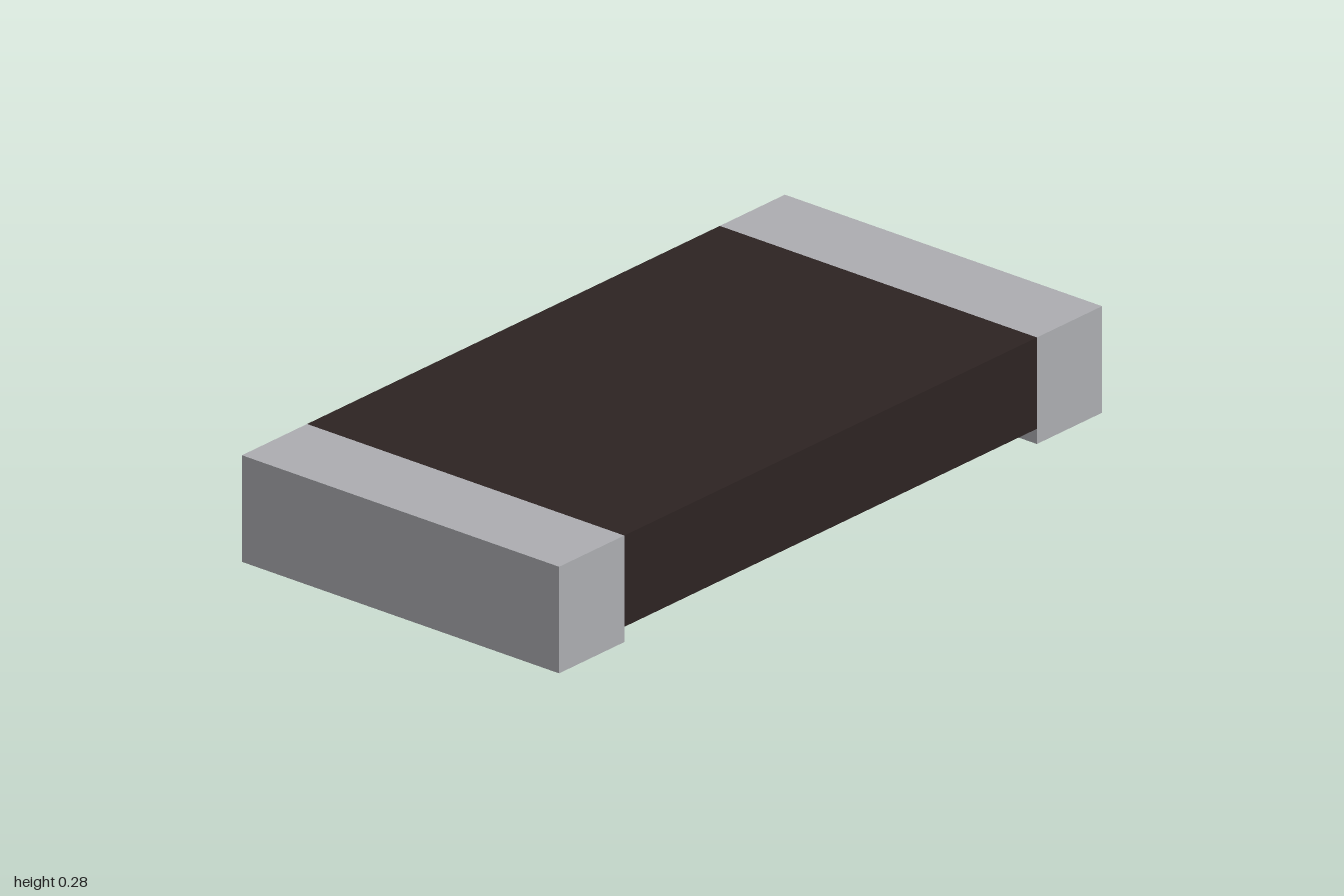
import * as THREE from 'three';

export function createModel() {
  const group = new THREE.Group();
  const metal = new THREE.MeshStandardMaterial({ color: 0xacadb1 });
  metal.name = 'terminal grey';
  const ceramic = new THREE.MeshStandardMaterial({ color: 0x2d2322 });
  ceramic.name = 'body dark brown';

  const height = 0.28, depth = 1, capWidth = 0.24, standOff = 0.04;
  const bodyWidth = 2 - 2 * capWidth;

  function addBox(name, material, width, x, bottom) {
    const h = height - bottom;
    const mesh = new THREE.Mesh(new THREE.BoxGeometry(width, h, depth), material);
    mesh.name = name;
    mesh.position.set(x, bottom + h / 2, 0);
    group.add(mesh);
  }

  // Dark body, raised between the two end terminals
  addBox('body', ceramic, bodyWidth, 0, standOff);

  // Metal end terminals that the part stands on
  for (const side of [-1, 1]) {
    addBox(side > 0 ? 'leftTerminal' : 'rightTerminal', metal, capWidth, side * (1 - capWidth / 2), 0);
  }
  return group;
}
